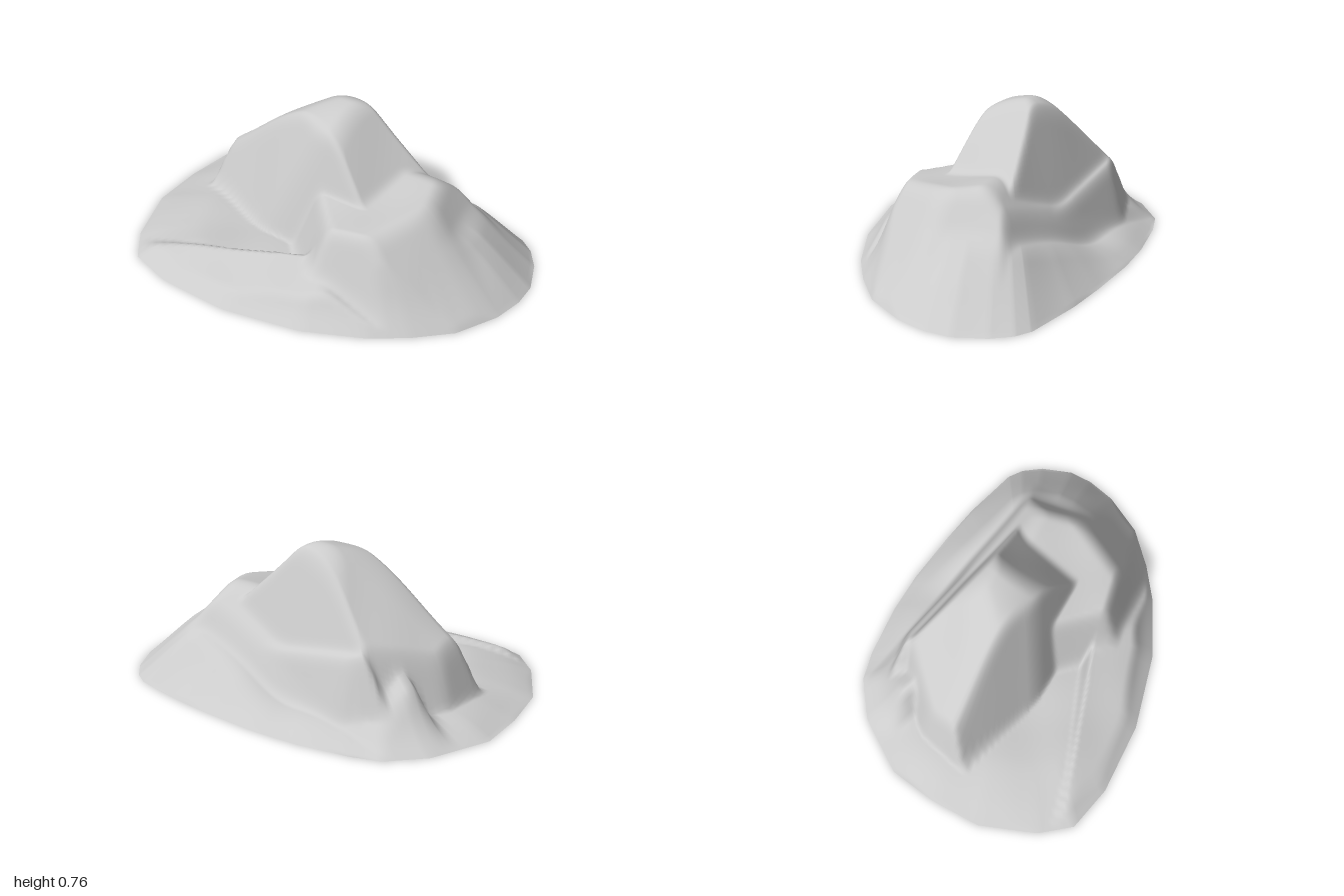
import * as THREE from 'three';

// Ground outline of the mound, as (x, z) points
const RIM = [
  [1, -0.06], [0.97, -0.22], [0.92, -0.32], [0.86, -0.38], [0.6, -0.5], [0.4, -0.57],
  [0.13, -0.65], [-0.08, -0.69], [-0.34, -0.71], [-0.49, -0.7], [-0.68, -0.6], [-0.89, -0.37],
  [-0.96, -0.14], [-1, 0.12], [-0.94, 0.41], [-0.85, 0.57], [-0.63, 0.66], [-0.27, 0.71],
  [0.12, 0.68], [0.42, 0.59], [0.6, 0.5], [0.78, 0.38], [0.92, 0.2], [0.98, 0.06],
];

// Each facet: a point x, y, z on it, its downhill direction (x, z) and its slope
const PEAK = [
  [-0.02, 0.76, -0.1, -1, 0, 0.1],
  [-0.25, 0.685, -0.1, -1, 0, 0.55],
  [-0.6, 0.41, -0.1, -1, 0, 0.82],
  [-0.3, 0.65, -0.1, -0.75, -0.66, 1],
  [-0.75, 0.1, -0.1, -0.92, -0.38, 3.2],
  [-0.47, 0.1, -0.46, -0.65, -0.76, 3.2],
  [-0.3, 0.08, -0.57, 0.1, -1, 3.8],
  [-0.5, 0.08, 0.16, -0.2, 0.98, 3.6],
  [-0.1, 0.15, 0.29, -0.48, 0.88, 2.6],
  [0, 0.72, 0.02, 0, 1, 0.55],
  [0.08, 0.725, -0.1, 0.88, 0.47, 1.15],
  [0, 0.715, -0.22, 0.1, -0.99, 1],
  [-0.02, 0.46, -0.32, 0.37, -0.93, 3],
];
const SHELF = [
  [-0.25, 0.37, -0.45, 0.6, -0.8, 0.6],
  [-0.25, 0.08, -0.57, 0.36, -0.93, 3.4],
  [-0.3, 0.07, -0.57, 0, -1, 3.6],
  [0.42, 0.2, -0.28, 1, 0, 1.5],
  [-0.35, 0.35, -0.45, -1, 0, 2],
  [0, 0.4, -0.25, 0, 1, 2],
];
const SHOULDER = [
  [0.45, 0.47, 0, -0.5, 0.86, 0.17],
  [0.6, 0.36, 0, 1, 0, 1.3],
  [0.46, 0.43, 0.22, 0.75, 0.65, 1.3],
  [0.2, 0.36, 0.4, 0, 1, 2.6],
  [0.45, 0.47, -0.1, 0.1, -1, 0.95],
  [0.3, 0.12, -0.37, 0.3, -0.95, 2.6],
  [0.1, 0.36, 0.37, -0.8, 0.6, 2.5],
];
const BERM = [
  [-0.3, 0.145, 0.42, -0.23, 0.97, 0.4],
  [-0.3, 0.145, 0.42, -0.2, -0.98, 2.5],
  [-0.6, 0.115, 0.45, -1, 0, 0.3],
  [0.1, 0.18, 0.4, 1, 0, 0.4],
];

// Rounded minimum and maximum
function softMin(a, b, k) {
  const h = Math.max(k - Math.abs(a - b), 0) / k;
  return Math.min(a, b) - h * h * k * 0.25;
}
const softMax = (a, b, k) => -softMin(-a, -b, k);

// Height of a rock bounded by its facets
function rock(facets, x, z, k) {
  return facets
    .map(([px, py, pz, dx, dz, s]) => py - s * (dx * (x - px) + dz * (z - pz)))
    .reduce((a, b) => softMin(a, b, k));
}

// Height of the whole surface; t runs from 0 at the rim to 1 at the centre
function height(x, z, t) {
  const side = Math.max(0, x / (Math.hypot(x, z) + 0.001));
  const slope = 0.38 + 0.55 * side ** 2;
  let h = softMin(slope * t, 0.08 + 0.21 * side ** 2, 0.05);
  h = softMax(h, rock(BERM, x, z, 0.02), 0.025);
  h = softMax(h, rock(SHOULDER, x, z, 0.06), 0.06);
  h = softMax(h, rock(SHELF, x, z, 0.05), 0.03);
  h = softMax(h, rock(PEAK, x, z, 0.06), 0.03);
  // gentle weathering
  h += 0.005 * Math.sin(13 * x + 5 * z) * Math.sin(11 * z - 4 * x + 1);
  // ease down to the rim
  return Math.max(0, softMin(h, 1.5 * slope * t + 9 * t ** 3, 0.04 * Math.min(1, t * 5) + 0.0001));
}

function createMound() {
  const SUB = 7, RINGS = 80;
  const edge = [];
  RIM.forEach(([x, z], i) => {
    const [nx, nz] = RIM[(i + 1) % RIM.length];
    for (let j = 0; j < SUB; j++) edge.push([x + (nx - x) * j / SUB, z + (nz - z) * j / SUB]);
  });
  const n = edge.length;
  const positions = [0, height(0, 0, 1), 0];
  const index = [];
  for (let r = 1; r <= RINGS; r++) {
    const s = r / RINGS;
    for (let i = 0; i < n; i++) {
      const x = edge[i][0] * s, z = edge[i][1] * s;
      positions.push(x, height(x, z, 1 - s), z);
      const a = 1 + (r - 1) * n + i, b = 1 + (r - 1) * n + (i + 1) % n;
      if (r === 1) index.push(0, a, b);
      else index.push(a - n, a, b, a - n, b, b - n);
    }
  }
  const geometry = new THREE.BufferGeometry();
  geometry.setAttribute('position', new THREE.Float32BufferAttribute(positions, 3));
  geometry.setIndex(index);
  geometry.computeVertexNormals();
  return geometry;
}

export function createModel() {
  const group = new THREE.Group();
  group.name = 'rockMound';
  // Hollow shell, open underneath
  const material = new THREE.MeshStandardMaterial({ color: 0xcccccc, side: THREE.DoubleSide });
  const mound = new THREE.Mesh(createMound(), material);
  mound.name = 'rockSurface';
  group.add(mound);
  return group;
}
